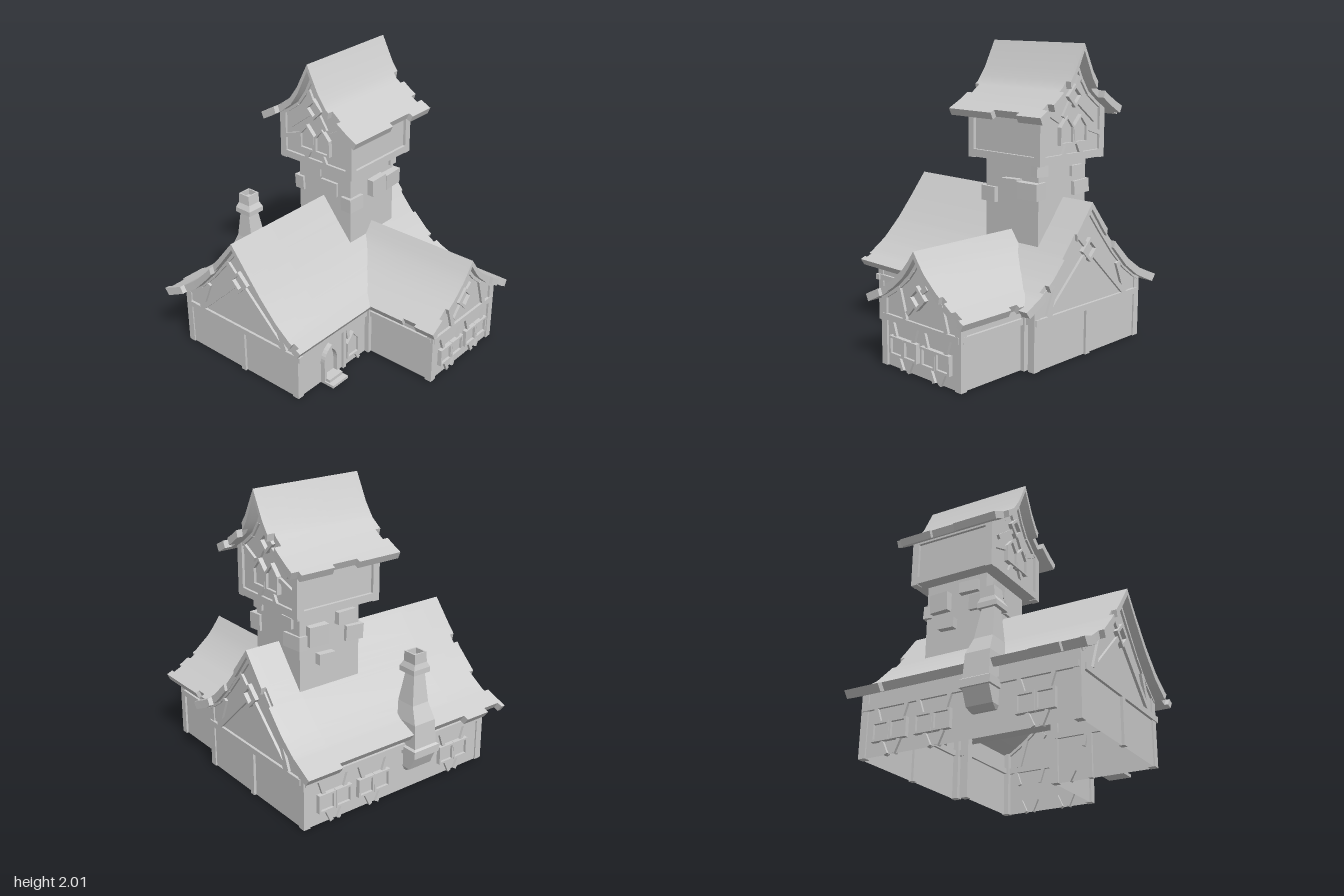
import * as THREE from 'three';
import { toCreasedNormals } from 'three/addons/utils/BufferGeometryUtils.js';

const mat = new THREE.MeshStandardMaterial({ color: 0xcccccc });
const wallMat = new THREE.MeshStandardMaterial({ color: 0xcccccc, side: THREE.DoubleSide });

// Roof curves: [distance from ridge, height]
const MAIN = [[0, 1.01], [0.12, 0.86], [0.25, 0.705], [0.38, 0.575], [0.5, 0.49], [0.6, 0.445], [0.67, 0.415]];
const WING = [[0, 0.8], [0.05, 0.73], [0.1, 0.67], [0.2, 0.585], [0.32, 0.51], [0.44, 0.45]];
const TOWER = [[0, 2], [0.09, 1.825], [0.155, 1.735], [0.25, 1.665], [0.33, 1.615], [0.415, 1.57]];

function lerpTable(t, v, a = 0, b = 1) {
  for (let i = 1; i < t.length; i++) {
    const k = (v - t[i - 1][a]) / (t[i][a] - t[i - 1][a]);
    if (k <= 1 || i === t.length - 1) return t[i - 1][b] + (t[i][b] - t[i - 1][b]) * Math.min(k, 1);
  }
}

function add(parent, name, geo, material = mat) {
  const m = new THREE.Mesh(geo, material);
  m.name = name;
  parent.add(m);
  return m;
}

function box(parent, name, x, y, z, w, h, d) {
  const m = add(parent, name, new THREE.BoxGeometry(w, h, d));
  m.position.set(x, y, z);
  return m;
}

function soup(tris) {
  const g = new THREE.BufferGeometry();
  g.setAttribute('position', new THREE.Float32BufferAttribute(tris.flat(), 3));
  g.computeVertexNormals();
  return g;
}

// Curved roof slab, ridge along x; notches are [xa, xb, da, db] cut-outs
function roofGeometry(prof, x0, x1, notches, flare, startX) {
  const max = prof[prof.length - 1][0];
  const uniq = (a, lo, hi) => [...new Set(a.filter(v => v >= lo && v <= hi))].sort((p, q) => p - q);
  const xs = uniq([x0, x1, ...notches.flatMap(n => [n[0], n[1]])], x0, x1);
  const ds = uniq([...prof.flatMap(p => [p[0], -p[0] || 0]), ...notches.flatMap(n => [n[2], n[3]])], -max, max);
  const solid = (i, j) => {
    if (i < 0 || j < 0 || i >= xs.length - 1 || j >= ds.length - 1) return false;
    const x = (xs[i] + xs[i + 1]) / 2, d = (ds[j] + ds[j + 1]) / 2;
    return !notches.some(n => x > n[0] && x < n[1] && d > n[2] && d < n[3]);
  };
  const point = (i, j, low) => {
    const d = ds[j], y = lerpTable(prof, Math.abs(d));
    let x = xs[i] + Math.sign(xs[i] - (x0 + x1) / 2) * flare * (d / max) ** 2;
    if (startX && i === 0) x = startX(y);
    return low ? [x, y - 0.045, d * 0.95] : [x, y, d];
  };
  const tris = [];
  const quad = (a, b, c, d) => tris.push(...a, ...b, ...c, ...a, ...c, ...d);
  for (let i = 0; i < xs.length - 1; i++) for (let j = 0; j < ds.length - 1; j++) {
    if (!solid(i, j)) continue;
    const c = [[i, j], [i, j + 1], [i + 1, j + 1], [i + 1, j]];
    const t = c.map(p => point(p[0], p[1], false)), l = c.map(p => point(p[0], p[1], true));
    quad(...t);
    quad(l[3], l[2], l[1], l[0]);
    [[i - 1, j], [i, j + 1], [i + 1, j], [i, j - 1]].forEach((n, k) => {
      const q = (k + 1) % 4;
      if (!solid(...n)) quad(t[k], l[k], l[q], t[q]);
    });
  }
  return toCreasedNormals(soup(tris), 0.6);
}

// Four-sided loft through [y, xMin, xMax, zMin, zMax] sections
function loft(sections) {
  const rings = sections.map(([y, a, b, c, d]) => [[a, y, d], [b, y, d], [b, y, c], [a, y, c]]);
  const tris = [];
  const quad = (a, b, c, d) => tris.push(...a, ...b, ...c, ...a, ...c, ...d);
  for (let i = 1; i < rings.length; i++) for (let k = 0; k < 4; k++) {
    const q = (k + 1) % 4;
    quad(rings[i - 1][k], rings[i - 1][q], rings[i][q], rings[i][k]);
  }
  quad(...rings[rings.length - 1]);
  quad(...[...rings[0]].reverse());
  return soup(tris);
}

// A wall group: local x, y lie in the wall and z points outward
function wallGroup(root, name, x, z, rot) {
  const g = new THREE.Group();
  g.name = name;
  g.position.set(x, 0, z);
  g.rotation.y = rot;
  root.add(g);
  return g;
}

function panel(g, u0, u1, v0, v1) {
  const s = new THREE.Shape([[u0, v0], [u1, v0], [u1, v1], [u0, v1]].map(p => new THREE.Vector2(...p)));
  add(g, 'wallPanel', new THREE.ShapeGeometry(s), wallMat);
}

function beam(g, u0, v0, u1, v1, w = 0.035, depth = 0.036) {
  const m = box(g, 'timber', (u0 + u1) / 2, (v0 + v1) / 2, 0, Math.hypot(u1 - u0, v1 - v0), w, depth);
  m.rotation.z = Math.atan2(v1 - v0, u1 - u0);
}

// Gable wall under a roof curve, with rafters beside the roof
function gable(g, u0, u1, uc, base, prof) {
  const top = u => lerpTable(prof, Math.abs(u - uc)) - 0.03;
  const us = [u0, ...prof.flatMap(p => [uc - p[0], uc + p[0]]).filter(u => u > u0 && u < u1), u1];
  const line = [...new Set(us)].sort((a, b) => b - a).map(u => [u, top(u)]);
  const pts = [[u0, base], [u1, base], ...line].map(p => new THREE.Vector2(...p));
  add(g, 'gableWall', new THREE.ShapeGeometry(new THREE.Shape(pts)), wallMat);
  for (let i = 1; i < line.length; i++) beam(g, line[i - 1][0], line[i - 1][1] - 0.03, line[i][0], line[i][1] - 0.03, 0.03, 0.03);
}

// Frame with a hole; peak > 0 gives a pointed head
function frame(g, name, u, v, w, h, peak = 0, t = 0.014, depth = 0.03) {
  const outline = k => [[-w / 2 + k, k], [w / 2 - k, k], [w / 2 - k, h - peak - (peak ? k / 2 : k)],
    ...(peak ? [[0, h - k * 1.3]] : []), [-w / 2 + k, h - peak - (peak ? k / 2 : k)]].map(p => new THREE.Vector2(...p));
  const s = new THREE.Shape(outline(0));
  s.holes.push(new THREE.Path(outline(t)));
  add(g, name, new THREE.ExtrudeGeometry(s, { depth, bevelEnabled: false })).position.set(u, v, 0);
  const pane = new THREE.ExtrudeGeometry(new THREE.Shape(outline(t)), { depth: 0.012, bevelEnabled: false });
  add(g, name + 'Pane', pane).position.set(u, v, 0);
}

function diamond(g, u, v, r) {
  const m = add(g, 'diamondFrame', new THREE.RingGeometry(r * 0.66, r, 4, 1), wallMat);
  m.position.set(u, v, 0.022);
  const s = new THREE.Shape([[r, 0], [0, r], [-r, 0], [0, -r]].map(p => new THREE.Vector2(...p)));
  s.holes.push(new THREE.Path([[r * 0.66, 0], [0, r * 0.66], [-r * 0.66, 0], [0, -r * 0.66]].map(p => new THREE.Vector2(...p))));
  m.geometry = new THREE.ExtrudeGeometry(s, { depth: 0.028, bevelEnabled: false });
  m.position.z = 0;
}

function windowPair(g, u, v = 0.085) {
  for (const k of [-1, 1]) {
    frame(g, 'window', u + k * 0.064, v, 0.126, 0.125);
    beam(g, u + k * 0.08, v + 0.12, u + k * 0.115, 0.31, 0.025);
  }
  beam(g, u - 0.06, v, u - 0.02, 0.0, 0.025);
  beam(g, u + 0.07, v, u + 0.03, 0.0, 0.025);
}

export function createModel() {
  const root = new THREE.Group();
  root.name = 'house';

  // Hall and wing walls
  const front = wallGroup(root, 'hallFront', 0, 0.27, 0);
  panel(front, -0.74, -0.03, 0, 0.46);
  panel(front, 0.66, 0.75, 0, 0.46);
  beam(front, -0.74, 0.32, -0.03, 0.32, 0.04);
  beam(front, 0.66, 0.32, 0.75, 0.32, 0.04);
  beam(front, -0.295, 0, -0.295, 0.31, 0.03);
  const back = wallGroup(root, 'hallBack', 0, -0.76, Math.PI);
  panel(back, -0.75, 0.74, 0, 0.46);
  beam(back, -0.75, 0.32, 0.74, 0.32, 0.04);
  for (const u of [-0.53, -0.22, 0.47]) windowPair(back, u);
  for (const [name, x, s] of [['hallRightGable', 0.75, 1], ['hallLeftGable', -0.74, -1]]) {
    const g = wallGroup(root, name, x, 0, s * Math.PI / 2), c = s * 0.22;
    gable(g, s > 0 ? -0.27 : -0.76, s > 0 ? 0.76 : 0.27, c, 0, MAIN);
    beam(g, c - 0.5, 0.32, c + 0.52, 0.32, 0.04);
    beam(g, c, 0, c, 0.3, 0.04);
    diamond(g, c, 0.7, 0.08);
    for (const k of [-1, 1]) {
      beam(g, c + k * 0.38, 0.34, c + k * 0.04, 0.665);
      beam(g, c + k * 0.39, 0.34, c + k * 0.3, 0.56);
    }
    beam(g, c - 0.04, 0.74, c - 0.11, 0.81);
  }
  const wing = wallGroup(root, 'wingFront', 0, 0.815, 0);
  gable(wing, -0.03, 0.66, 0.31, 0, WING);
  beam(wing, -0.03, 0.32, 0.66, 0.32, 0.04);
  diamond(wing, 0.3, 0.5, 0.08);
  beam(wing, 0.12, 0.54, 0.18, 0.34);
  beam(wing, 0.49, 0.54, 0.55, 0.34);
  beam(wing, 0.27, 0.46, 0.2, 0.38, 0.03);
  beam(wing, 0.33, 0.54, 0.38, 0.58, 0.03);
  windowPair(wing, 0.17);
  windowPair(wing, 0.46);
  for (const [x, s] of [[0.66, 1], [-0.03, -1]]) {
    const g = wallGroup(root, 'wingSide', x, 0, s * Math.PI / 2);
    const u = s > 0 ? [-0.81, -0.27] : [0.27, 0.81];
    panel(g, u[0], u[1], 0, 0.47);
    beam(g, u[0], 0.32, u[1], 0.32, 0.04);
  }
  for (const [x, z] of [[-0.725, 0.255], [0.735, 0.265], [-0.725, -0.745], [0.735, -0.745],
    [-0.02, 0.805], [0.65, 0.805], [-0.035, 0.28], [0.665, 0.28]]) box(root, 'cornerPost', x, 0.225, z, 0.05, 0.45, 0.05);

  // Door, step and pointed window
  const arch = (r, h, p) => {
    p.moveTo(-r, 0).lineTo(r, 0).lineTo(r, h - 0.11);
    p.quadraticCurveTo(r, h - 0.04, 0, h).quadraticCurveTo(-r, h - 0.04, -r, h - 0.11).lineTo(-r, 0);
    return p;
  };
  const doorShape = arch(0.075, 0.28, new THREE.Shape());
  doorShape.holes.push(arch(0.052, 0.25, new THREE.Path()));
  add(front, 'doorFrame', new THREE.ExtrudeGeometry(doorShape, { depth: 0.035, bevelEnabled: false, curveSegments: 6 })).position.x = -0.445;
  box(front, 'doorStep', -0.445, 0.01, 0.055, 0.15, 0.02, 0.11);
  box(front, 'doorStep', -0.445, 0.03, 0.035, 0.13, 0.025, 0.07);
  frame(front, 'pointedWindow', -0.215, 0.065, 0.125, 0.195, 0.07);
  beam(front, -0.25, 0.22, -0.27, 0.31, 0.025);
  beam(front, -0.18, 0.07, -0.14, 0, 0.025);

  // Hall and wing roofs
  add(root, 'hallRoof', roofGeometry(MAIN, -0.81, 0.785, [
    [-0.85, 0.72, 0.595, 0.7], [0.72, 0.85, 0.635, 0.7],
    [-0.78, -0.65, -0.7, -0.635], [-0.46, 0.53, -0.7, -0.635],
    [-0.85, -0.775, -0.52, -0.38], [-0.85, -0.775, -0.22, -0.18], [-0.85, -0.785, 0.52, 0.56],
    [0.75, 0.85, -0.24, -0.16], [0.765, 0.85, 0.15, 0.27], [0.75, 0.85, 0.42, 0.47]], 0.025)).position.z = -0.22;
  const wingRoof = add(root, 'wingRoof', roofGeometry(WING, -0.3, 0.87, [
    [0.84, 0.9, -0.4, -0.34], [0.84, 0.9, -0.27, -0.23], [0.845, 0.9, 0.26, 0.33],
    [0.4, 0.47, -0.44, -0.415], [0.62, 0.72, 0.42, 0.44]], 0.015,
    y => lerpTable([...MAIN].reverse().map(p => [p[1], p[0]]), y) - 0.25));
  wingRoof.position.x = 0.31;
  wingRoof.rotation.y = -Math.PI / 2;

  // Tower shaft with protruding stones
  box(root, 'towerShaft', 0.31, 0.94, -0.21, 0.46, 0.64, 0.46);
  [[0.12, 1.01, 0, 0.13, 0.1, 0.09], [0.33, 1.08, 0.03, 0.14, 0.12, 0.08], [0.48, 1.075, 0.02, 0.16, 0.11, 0.1],
    [0.52, 1.205, -0.01, 0.06, 0.08, 0.1], [0.53, 1.175, -0.33, 0.06, 0.07, 0.1], [0.53, 1.06, -0.38, 0.06, 0.09, 0.16],
    [0.42, 1.1, -0.45, 0.14, 0.13, 0.07], [0.36, 0.935, -0.45, 0.12, 0.07, 0.07], [0.2, 1.17, -0.44, 0.14, 0.08, 0.07],
    [0.13, 1.05, -0.43, 0.13, 0.1, 0.08], [0.085, 1.09, -0.16, 0.05, 0.1, 0.14], [0.085, 1.19, -0.3, 0.05, 0.08, 0.12]]
    .forEach(([x, y, z, w, h, d], i) => { box(root, 'shaftStone', x, y, z, w, h, d).rotation.set(0.03 * (i % 3 - 1), 0.06 * (i % 3 - 1), 0.04 * (i % 2)); });

  // Tower room
  box(root, 'towerRoom', 0.305, 1.425, -0.215, 0.59, 0.34, 0.59);
  for (const s of [-1, 1]) {
    const g = wallGroup(root, 'towerGable', 0.305 + s * 0.297, -0.215, s * Math.PI / 2);
    gable(g, -0.3, 0.3, 0, 1.26, TOWER);
    beam(g, -0.3, 1.28, 0.3, 1.28, 0.05);
    diamond(g, s * 0.01, 1.67, 0.075);
    for (const k of [-1, 1]) {
      frame(g, 'towerWindow', k * 0.066, 1.365, 0.13, 0.185, 0.07);
      beam(g, k * 0.05, 1.37, k * 0.09, 1.29, 0.03);
    }
    beam(g, s * 0.13, 1.46, s * 0.28, 1.41, 0.03);
    beam(g, s * 0.05, 1.63, s * 0.22, 1.5, 0.03);
    beam(g, s * -0.03, 1.63, s * -0.09, 1.54, 0.03);
    beam(g, s * 0.03, 1.73, s * 0.06, 1.79, 0.03);
    beam(g, s * -0.13, 1.52, s * -0.24, 1.58, 0.03);
    const f = wallGroup(root, 'towerFace', 0.305, -0.215 + s * 0.297, s > 0 ? 0 : Math.PI);
    beam(f, -0.3, 1.28, 0.3, 1.28, 0.05);
    beam(f, -0.3, 1.575, 0.3, 1.575, 0.04);
    for (const k of [-1, 1]) box(root, 'towerPost', 0.305 + k * 0.29, 1.425, -0.215 + s * 0.29, 0.05, 0.35, 0.05);
  }
  add(root, 'towerRoof', roofGeometry(TOWER, -0.08, 0.7, [
    [0.3, 0.5, 0.385, 0.42], [0.24, 0.41, -0.42, -0.39], [0.65, 0.8, -0.42, -0.385],
    [-0.1, -0.04, -0.3, -0.23], [-0.1, -0.04, 0.18, 0.25],
    [0.65, 0.75, -0.21, -0.14], [0.66, 0.75, 0.13, 0.19], [0.65, 0.75, 0.29, 0.34]], 0.008)).position.z = -0.215;

  // Chimney with band, bent neck, cap and hollow flue
  add(root, 'chimney', loft([
    [0.145, -0.21, -0.05, -0.78, -0.74], [0.17, -0.22, -0.04, -0.825, -0.74], [0.27, -0.22, -0.04, -0.87, -0.74],
    [0.27, -0.235, -0.025, -0.885, -0.74], [0.32, -0.235, -0.025, -0.885, -0.74], [0.33, -0.22, -0.04, -0.87, -0.72],
    [0.49, -0.215, -0.045, -0.857, -0.69], [0.6, -0.2, -0.07, -0.805, -0.667], [0.8, -0.19, -0.1, -0.775, -0.695],
    [0.8, -0.215, -0.08, -0.795, -0.66], [0.835, -0.215, -0.08, -0.795, -0.66], [0.87, -0.195, -0.095, -0.785, -0.68],
    [0.94, -0.19, -0.09, -0.785, -0.69], [0.94, -0.18, -0.1, -0.775, -0.7], [0.9, -0.18, -0.1, -0.775, -0.7]]));

  return root;
}
